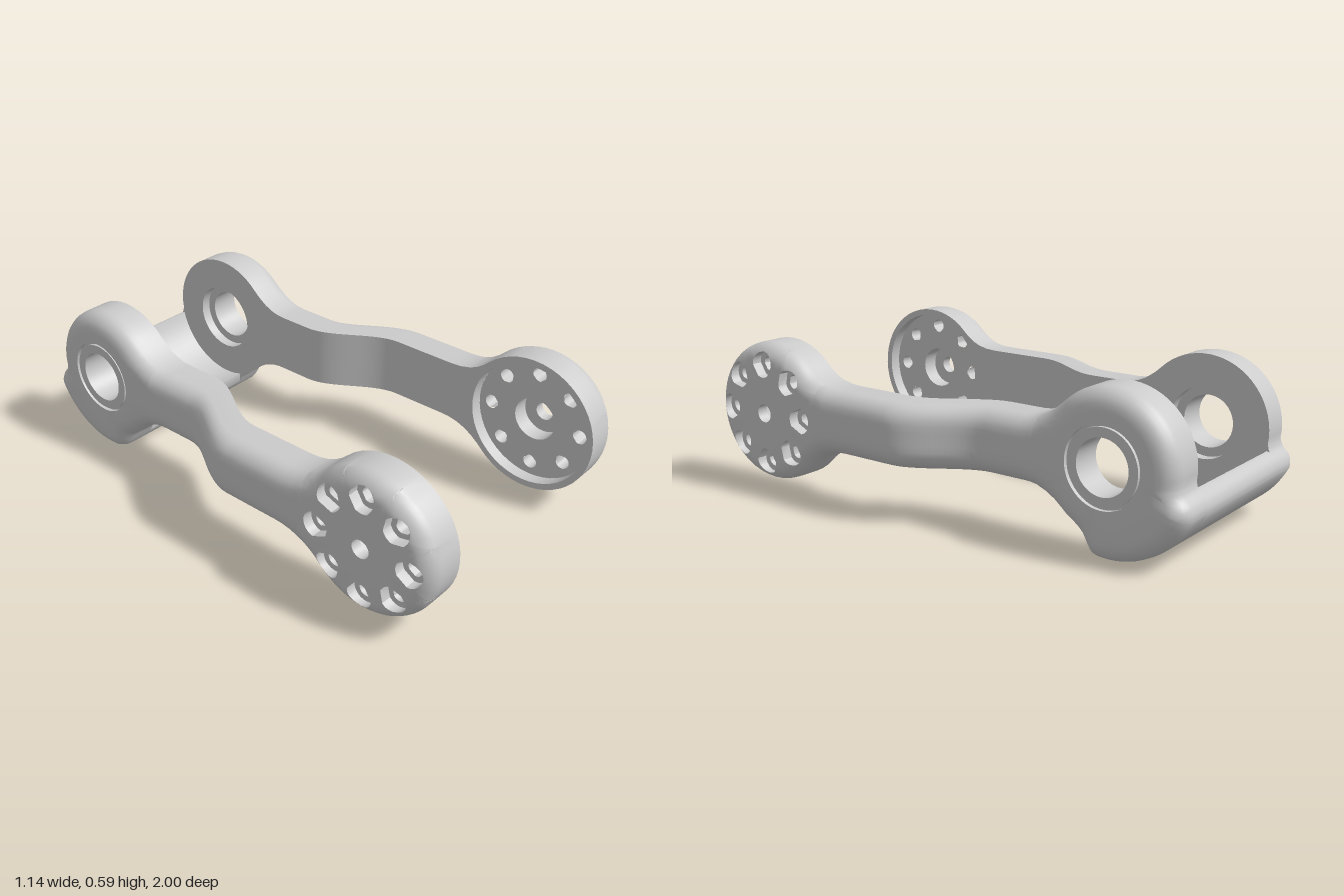
import * as THREE from 'three';
import { toCreasedNormals } from 'three/addons/utils/BufferGeometryUtils.js';

// 2D points are [z, y]; the arm is built for +x and mirrored.
const T = 0.163, R = 0.07;                       // arm thickness, outer edge rounding
const FRONT = [0.73, 0.32], REAR = [-0.7, 0.335];
const FILLET = [0, 1, 2, 3, 4, 5].map(k => R * (1 - Math.cos(k * Math.PI / 10)));

const polar = (c, r, deg) => {
  const a = deg * Math.PI / 180;
  return [c[0] + r * Math.cos(a), c[1] + r * Math.sin(a)];
};
const arc = (c, r, a0, a1, n) =>
  Array.from({ length: n + 1 }, (_, i) => polar(c, r, a0 + (a1 - a0) * i / n));
const lerp = (p, q, t) => [p[0] + (q[0] - p[0]) * t, p[1] + (q[1] - p[1]) * t];

// Upper and lower edge of the beam, flaring into both heads
const flare = (z, front, nf, rear, nr) =>
  z > 0.35 ? front * ((z - 0.35) / 0.189) ** nf
    : z < -0.36 ? rear * ((-0.36 - z) / 0.159) ** nr : 0;
const topY = z => 0.448 + flare(z, 0.063, 3, 0.074, 2.07);
const lowY = z => 0.213 - flare(z, 0.084, 2.25, 0.065, 2.36);
const top = z => [z, topY(z)], low = z => [z, lowY(z)];

// Sideways bend of the arm
const bend = z => 0.262 + 0.147 * THREE.MathUtils.smoothstep(z, -0.22, 0.12);

// Outline pieces
const frontArc = arc(FRONT, 0.27, -135, 135, 36);
const stations = [0.46, 0.42, 0.38, 0.35, 0.2];
for (let i = 0; i <= 14; i++) stations.push(0.12 - 0.34 * i / 14);
stations.push(-0.36, -0.39, -0.42);
const smooth = (pts, n) => new THREE.CatmullRomCurve3(pts.map(p => new THREE.Vector3(p[0], p[1], 0)))
  .getPoints(n).map(v => [v.x, v.y]);
const lobe = [
  ...smooth([[-0.957, 0.3], [-0.965, 0.272], [-0.99, 0.245], [-1, 0.215], polar(REAR, 0.33, 206)], 12),
  ...arc(REAR, 0.33, 206, 275, 14).slice(1, -1),
  ...smooth([polar(REAR, 0.33, 275), [-0.64, 0.02], [-0.62, 0.05], [-0.6, 0.085], [-0.57, 0.11]], 12)];
const rearEdge = [top(-0.455), top(-0.49), ...arc(REAR, 0.26, 46, 188, 24).slice(0, -1), ...lobe,
  ...arc(REAR, 0.26, 300, 314, 3).slice(1), low(-0.49), low(-0.455)];
const outline = [...frontArc, top(0.52), top(0.49), ...stations.map(top), ...rearEdge,
  ...[...stations].reverse().map(low), low(0.49), low(0.52)];

// Height of the outer face: flat, rounded off towards the outline
function outerX(p) {
  let d = Infinity;
  outline.forEach((a, i) => {
    const b = outline[(i + 1) % outline.length];
    const u = b[0] - a[0], v = b[1] - a[1];
    const t = THREE.MathUtils.clamp(((p[0] - a[0]) * u + (p[1] - a[1]) * v) / (u * u + v * v || 1), 0, 1);
    d = Math.min(d, Math.hypot(p[0] - a[0] - u * t, p[1] - a[1] - v * t));
  });
  return d >= R ? T : T - R * (1 - Math.sqrt(Math.max(0, 1 - (1 - d / R) ** 2)));
}
const onOuter = p => [outerX(p), p];
const at = x => p => [x, p];

function armGeometry(side) {
  const pos = [], index = [];

  // Join rows of points [x, [z, y]] with quads
  function loft(rows, flip, closed = true) {
    const base = pos.length / 3, n = rows[0].length;
    rows.flat().forEach(([x, p]) => pos.push(side * (bend(p[0]) + x), p[1], p[0]));
    for (let j = 0; j < rows.length - 1; j++)
      for (let i = 0; i < (closed ? n : n - 1); i++) {
        const a = base + j * n + i, b = base + j * n + (i + 1) % n, c = b + n, d = a + n;
        if (flip === (side > 0)) index.push(a, d, c, a, c, b);
        else index.push(a, b, c, a, c, d);
      }
  }

  // Face from a closed border to a round hole, then down through steps [radius, x]
  function cell(border, c, r, steps, x0) {
    const outer = x0 === undefined, put = outer ? onOuter : at(x0);
    const ring = rad => border.map(p => {
      const l = Math.hypot(p[0] - c[0], p[1] - c[1]);
      return lerp(c, p, rad / l);
    });
    const edge = ring(r), rows = [border];
    if (outer) for (const k of [1, 2, 3, 4, 5, 6])
      rows.push(border.map((p, i) => {
        const l = Math.hypot(p[0] - edge[i][0], p[1] - edge[i][1]);
        const s = Math.min(R, l * 0.85);
        return lerp(p, edge[i], (k < 6 ? FILLET[k] * s / R : (s + l) / 2) / l);
      }));
    rows.push(edge);
    loft([...rows.map(q => q.map(put)), ...steps.map(([rad, x]) => ring(rad).map(at(x)))], outer);
  }

  // Eight cells around the front disc, each with one hole
  function boltCells(ring, splits, rIn, r, steps, x0) {
    for (let k = 0; k < 8; k++) {
      const a0 = -112.5 + 45 * k, edge = ring.slice(splits[k], splits[k + 1] + 1);
      const inner = arc(FRONT, rIn, a0 + 45, a0, 6);
      const line = (p, q) => FILLET.slice(1).map(s => lerp(p, q, s / Math.hypot(p[0] - q[0], p[1] - q[1])));
      cell([...edge, ...line(edge[edge.length - 1], inner[0]), ...inner, ...line(edge[0], inner[6]).reverse()],
        polar(FRONT, 0.19, a0 + 22.5), r, steps, x0);
    }
  }

  const column = z => {
    const t = topY(z), b = lowY(z);
    return [...FILLET.map(s => [z, t - s]), ...[0.25, 0.5, 0.75].map(k => [z, t - R + (b - t + 2 * R) * k]),
      ...[...FILLET].reverse().map(s => [z, b + s])];
  };

  // Rim wall and beam faces
  loft([outline.map(at(0)), outline.map(at(T - R))], true);
  loft(stations.map(z => column(z).map(onOuter)), false, false);
  loft(stations.map(z => column(z).map(at(0))), true, false);

  // Front disc, outer face with counterbored holes
  const neck = column(0.46);
  const ring = [...frontArc.slice(3), top(0.52), top(0.49), ...neck, low(0.49), low(0.52), ...frontArc.slice(0, 4)];
  boltCells(ring, [0, 6, 12, 18, 24, 30, 39, 36 + neck.length - 4, ring.length - 1], 0.12, 0.05,
    [[0.05, T - 0.04], [0.028, T - 0.04], [0.028, 0.05]]);
  cell(arc(FRONT, 0.12, 0, 352.5, 47), FRONT, 0.035, [[0.035, 0.12]]);

  // Front disc, inner recess and hub pocket
  cell(ring.slice(0, -1), FRONT, 0.245, [[0.245, 0.05]], 0);
  boltCells(arc(FRONT, 0.245, -112.5, 247.5, 48), [0, 6, 12, 18, 24, 30, 36, 42, 48], 0.085, 0.028, [], 0.05);
  const hub = arc(FRONT, 0.085, 0, 352.5, 47);
  loft([hub.map(at(0.05)), hub.map(at(0.12)), arc(FRONT, 0.035, 0, 352.5, 47).map(at(0.12))], false);

  // Rear head with bearing seat
  const rearRing = [...rearEdge, ...column(-0.42).reverse()];
  cell(rearRing, REAR, 0.145, [[0.145, T - 0.015], [0.135, T - 0.015], [0.135, T - 0.003],
    [0.1, T - 0.003], [0.1, 0.04]]);
  cell(rearRing, REAR, 0.135, [[0.135, 0.04], [0.1, 0.04]], 0);

  const g = new THREE.BufferGeometry();
  g.setAttribute('position', new THREE.Float32BufferAttribute(pos, 3));
  g.setIndex(index);
  return crease(g);
}

// Creasing compares positions coarsely, so work at a larger scale
function crease(g) {
  g.scale(100, 100, 100);
  const out = toCreasedNormals(g, 0.6);
  return out.scale(0.01, 0.01, 0.01);
}

// Curved bar joining the two rear heads
function crossbarGeometry() {
  const edge = lobe.filter(p => p[1] < 0.275 && p[0] < -0.618);
  const pts = [...edge, ...arc(REAR, 0.262, 287.8, 193.3, 16)];
  const shape = new THREE.Shape(pts.map(p => new THREE.Vector2(-p[0], p[1])));
  const g = new THREE.ExtrudeGeometry(shape, { depth: 0.526, bevelEnabled: false });
  g.translate(0, 0, -0.263);
  g.rotateY(Math.PI / 2);
  return crease(g);
}

export function createModel() {
  const group = new THREE.Group();
  group.name = 'bracket';
  const material = new THREE.MeshStandardMaterial({ color: 0xcccccc });
  const add = (name, geometry) => {
    const mesh = new THREE.Mesh(geometry, material);
    mesh.name = name;
    group.add(mesh);
  };
  add('leftArm', armGeometry(1));
  add('rightArm', armGeometry(-1));
  add('crossbar', crossbarGeometry());
  return group;
}
